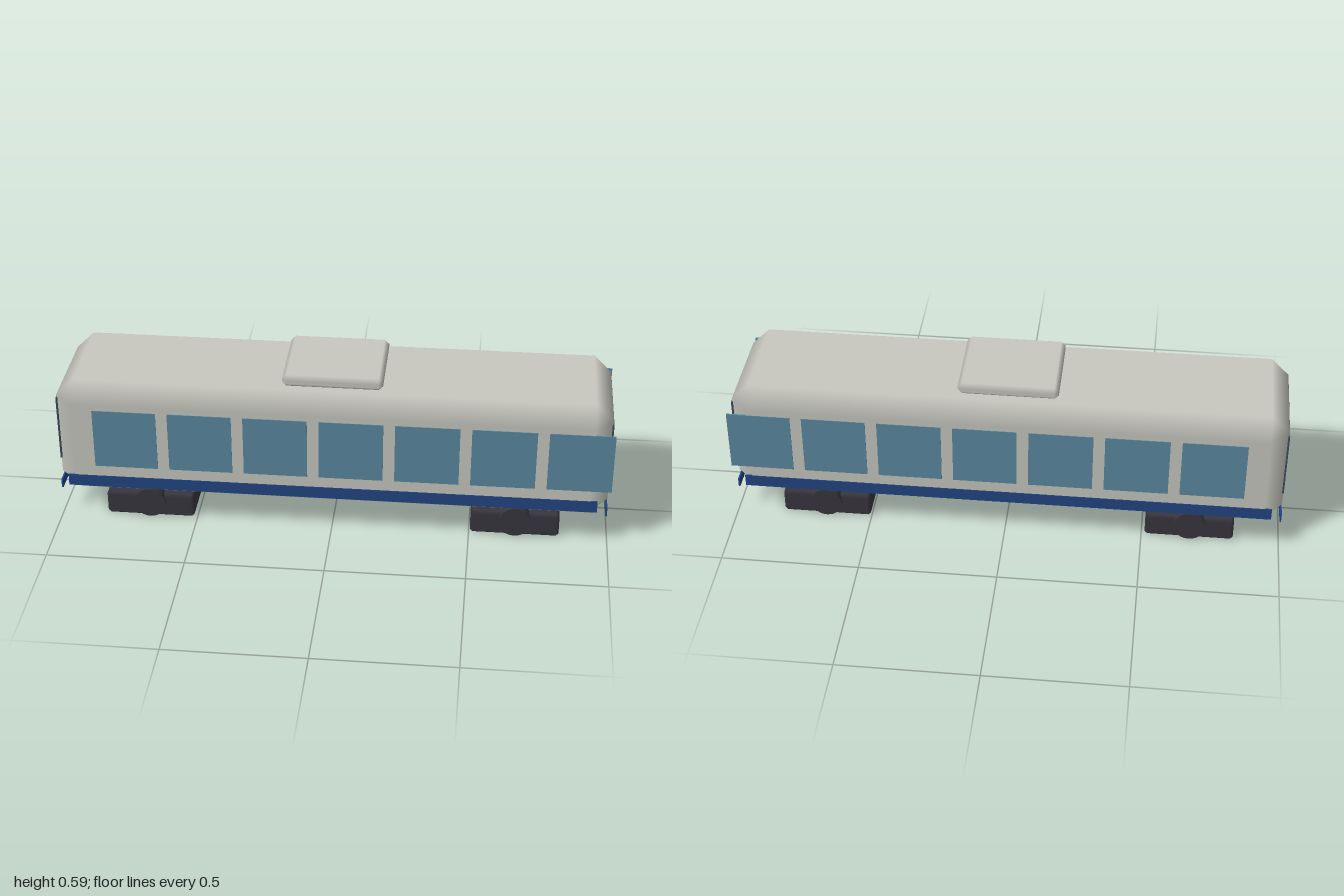
import * as THREE from 'three';
import { ConvexGeometry } from 'three/addons/geometries/ConvexGeometry.js';

const paint = (name, color) => {
  const m = new THREE.MeshStandardMaterial({ color });
  m.name = name;
  return m;
};

// Box with every edge cut at 45 degrees; normals blend across the cuts
function chamferBox(w, h, d, c) {
  const half = [w / 2, h / 2, d / 2];
  const points = [];
  for (let axis = 0; axis < 3; axis++)
    for (const sx of [-1, 1]) for (const sy of [-1, 1]) for (const sz of [-1, 1]) {
      const p = [sx, sy, sz].map((s, i) => s * (half[i] - (i === axis ? 0 : c)));
      points.push(new THREE.Vector3(...p));
    }
  const g = new ConvexGeometry(points);
  const pos = g.attributes.position, nor = g.attributes.normal;
  for (let i = 0; i < pos.count; i++) {
    const p = [pos.getX(i), pos.getY(i), pos.getZ(i)];
    // each corner takes the normal of the flat face it lies on
    nor.setXYZ(i, ...p.map((v, k) => (Math.abs(v) > half[k] - c / 2 ? Math.sign(v) : 0)));
  }
  return g;
}

export function createModel() {
  const shell = paint('warmGrey', 0xc8c8c0);
  const glass = paint('sideGlass', 0x5b88a0);
  const darkGlass = paint('endGlass', 0x3a4d5c);
  const blue = paint('blueTrim', 0x224584);
  const dark = paint('darkMetal', 0x38363e);

  const model = new THREE.Group();
  const car = new THREE.Group();
  car.name = 'railCar';
  car.position.x = -0.004;
  model.add(car);

  const add = (name, geometry, material, x, y, z) => {
    const mesh = new THREE.Mesh(geometry, material);
    mesh.name = name;
    mesh.position.set(x, y, z);
    car.add(mesh);
    return mesh;
  };

  // Body and roof unit
  add('body', chamferBox(1.992, 0.45, 0.49, 0.065), shell, 0, 0.32, 0);
  add('roofUnit', chamferBox(0.36, 0.045, 0.326, 0.016), shell, 0, 0.566, 0);

  // Side windows and stripes
  const pane = new THREE.BoxGeometry(0.23, 0.23, 0.006);
  const stripe = new THREE.BoxGeometry(1.916, 0.045, 0.006);
  for (const side of [-1, 1]) {
    for (let i = 0; i < 7; i++)
      add('sideWindow', pane, glass, -0.74 + i * 0.2715, 0.343, side * 0.2445);
    add('sideStripe', stripe, blue, 0, 0.163, side * 0.2445);
  }

  // End windows and end bars
  const endPane = new THREE.BoxGeometry(0.006, 0.252, 0.38);
  const endBar = new THREE.BoxGeometry(0.006, 0.034, 0.418);
  for (const end of [-1, 1]) {
    add('endWindow', endPane, darkGlass, end * 0.9945, 0.345, 0);
    add('endBar', endBar, blue, end * 0.9945, 0.119, 0);
  }

  // Bogies with a wheel axle through each
  const frame = chamferBox(0.322, 0.091, 0.42, 0.01);
  const axle = new THREE.CylinderGeometry(0.058, 0.058, 0.442, 24);
  axle.rotateX(Math.PI / 2);
  for (const end of [-1, 1]) {
    add('bogie', frame, dark, end * 0.669, 0.0455, 0);
    add('wheelAxle', axle, dark, end * 0.669, 0.062, 0);
  }
  return model;
}
